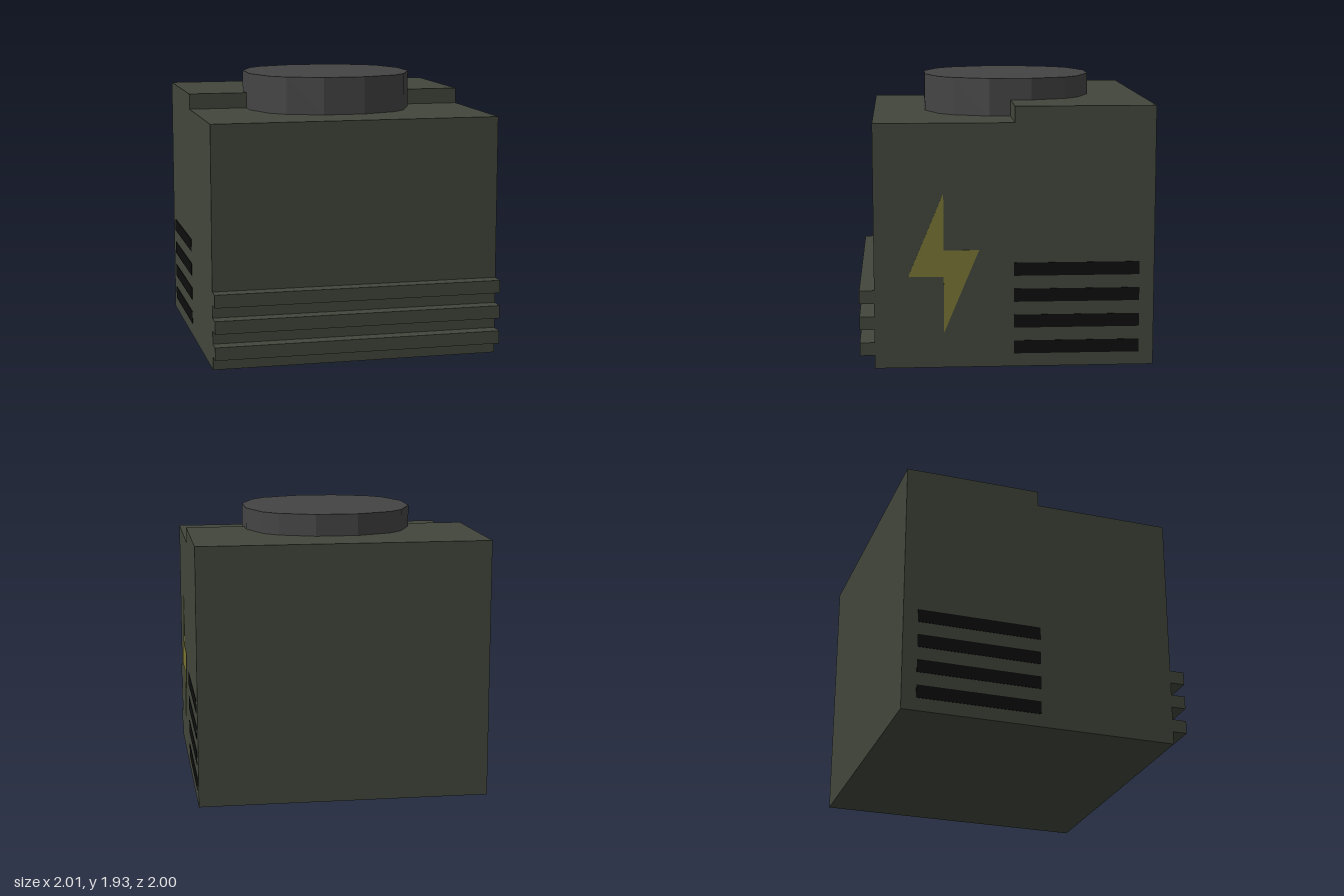
import * as THREE from 'three';

const paint = (color) => new THREE.MeshStandardMaterial({ color, flatShading: true });

const shapeOf = (points) => new THREE.Shape(points.map(([a, b]) => new THREE.Vector2(a, b)));

// Extrudes a (z, y) side profile across x, from xMin to xMax
function sideExtrude(points, xMin, xMax) {
  const geometry = new THREE.ExtrudeGeometry(shapeOf(points), { depth: xMax - xMin, bevelEnabled: false });
  return geometry.rotateY(-Math.PI / 2).translate(xMax, 0, 0);
}

export function createModel() {
  const group = new THREE.Group();
  const add = (name, geometry, material) => {
    const mesh = new THREE.Mesh(geometry, material);
    mesh.name = name;
    group.add(mesh);
  };
  const green = paint(0x41463b);
  const grey = paint(0x444444);
  const black = paint(0x0d0d0d);
  const yellow = paint(0x787434);

  // Body: stepped top and three ribs low on the front
  const front = 0.9;
  const profile = [[-1, 0], [front, 0]];
  for (const y of [0.09, 0.27, 0.45]) {
    profile.push([front, y], [1, y], [1, y + 0.09], [front, y + 0.09]);
  }
  profile.push([front, 1.67], [-0.05, 1.67], [-0.05, 1.78], [-1, 1.78]);
  add('body', sideExtrude(profile, -1, 1), green);

  // Round cap: one quarter of its sixteen-sided outline, turned four times
  const quarter = [[0.585, 0.145], [0.49, 0.39], [0.39, 0.485], [0.145, 0.585]];
  const outline = [];
  for (let i = 0; i < 4; i++) {
    const c = Math.round(Math.cos(i * Math.PI / 2));
    const s = Math.round(Math.sin(i * Math.PI / 2));
    for (const [x, y] of quarter) outline.push([x * c - y * s, x * s + y * c]);
  }
  const cap = new THREE.ExtrudeGeometry(shapeOf(outline), { depth: 0.26, bevelEnabled: false });
  add('cap', cap.rotateX(-Math.PI / 2).translate(0, 1.67, -0.05), grey);

  // Four vent slots on each side
  for (const [side, label] of [[1, 'left'], [-1, 'right']]) {
    for (let i = 0; i < 4; i++) {
      const slot = new THREE.BoxGeometry(0.006, 0.09, 0.855);
      add(`${label}Vent${i + 1}`, slot.translate(side, 0.135 + i * 0.18, -0.4725), black);
    }
  }

  // Lightning bolt marking on the left side
  const bolt = [[0.43, 1.2], [0.43, 0.81], [0.19, 0.81], [0.43, 0.24], [0.43, 0.63], [0.67, 0.63]];
  add('boltMarking', sideExtrude(bolt, 0.997, 1.003), yellow);

  return group;
}
